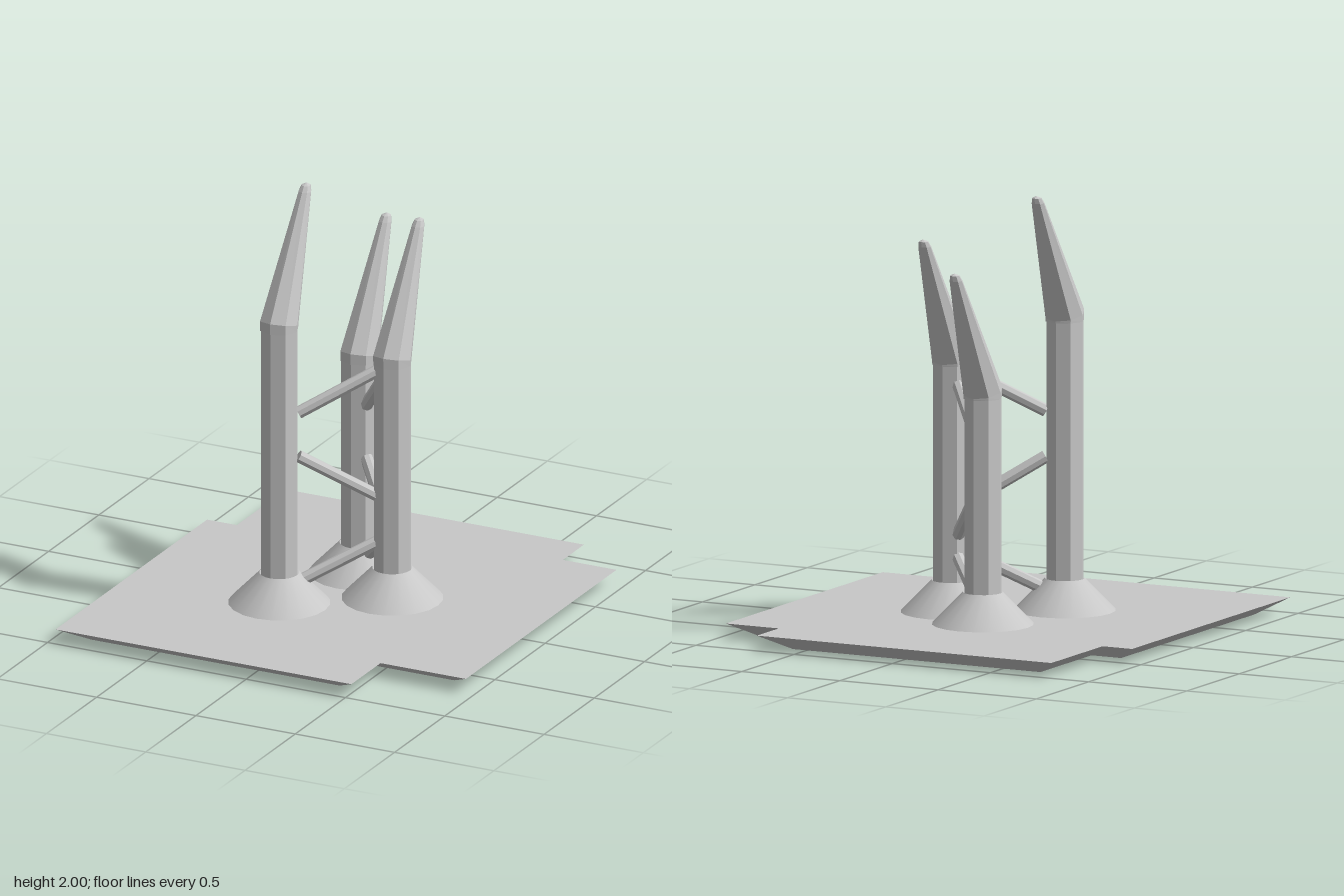
import * as THREE from 'three';

const grey = new THREE.MeshStandardMaterial({ color: 0xc8c8c8 });
grey.name = 'stone grey';

// One normal per face, for the faceted parts
function faceted(geometry) {
  const flat = geometry.index ? geometry.toNonIndexed() : geometry;
  flat.computeVertexNormals();
  return flat;
}

function part(name, geometry, parent) {
  const mesh = new THREE.Mesh(geometry, grey);
  mesh.name = name;
  parent.add(mesh);
  return mesh;
}

// Notched slab whose walls slope inward towards the ground
function slabGeometry() {
  const outline = [[-0.81, -1], [0.69, -1], [0.69, -0.79], [0.96, -0.79], [0.96, 0.71],
    [0.53, 0.71], [0.53, 1], [-0.96, 1], [-0.96, -0.51], [-0.81, -0.51]];
  const shape = new THREE.Shape(outline.map(([x, z]) => new THREE.Vector2(x, z)));
  const g = new THREE.ExtrudeGeometry(shape, { depth: 0.07, bevelEnabled: false });
  g.rotateX(Math.PI / 2).translate(0, 0.07, 0);
  const p = g.attributes.position;
  for (let i = 0; i < p.count; i++) {
    if (p.getY(i) > 0.035) continue;
    p.setX(i, p.getX(i) - 0.12 * Math.sign(p.getX(i)));
    p.setZ(i, p.getZ(i) - 0.12 * Math.sign(p.getZ(i)));
  }
  return faceted(g);
}

// Eight-sided spike leaning backwards, with a blunt tip
function spikeGeometry() {
  const profile = [[0.09, -0.01], [0.091, 0.02], [0.03, 0.565], [0.022, 0.59], [0, 0.6]];
  const g = new THREE.LatheGeometry(profile.map(([r, y]) => new THREE.Vector2(r, y)), 8);
  const p = g.attributes.position;
  for (let i = 0; i < p.count; i++) {
    const y = p.getY(i);
    if (y > 0) p.setY(i, y + 0.25 * p.getZ(i) * (1 - y / 0.6));
    p.setZ(i, p.getZ(i) - 0.47 * Math.max(0, y - 0.02));
  }
  return faceted(g);
}

// Brace between two points
function brace(name, a, b, parent) {
  const along = b.clone().sub(a);
  const mesh = part(name, faceted(new THREE.CylinderGeometry(0.029, 0.029, along.length(), 8)), parent);
  mesh.position.copy(a).add(b).multiplyScalar(0.5);
  mesh.quaternion.setFromUnitVectors(new THREE.Vector3(0, 1, 0), along.normalize());
}

export function createModel() {
  const model = new THREE.Group();
  model.name = 'spikeTowers';
  part('baseSlab', slabGeometry(), model);

  // Towers: x, z and height of the column
  const towers = [
    { name: 'frontTower', x: -0.215, z: 0.245, top: 1.4 },
    { name: 'middleTower', x: 0.212, z: -0.037, top: 1.21 },
    { name: 'backTower', x: -0.06, z: -0.248, top: 1.11 },
  ];
  for (const t of towers) {
    const tower = new THREE.Group();
    tower.name = t.name;
    tower.position.set(t.x, 0, t.z);
    model.add(tower);
    part('foot', new THREE.CylinderGeometry(0.09, 0.23, 0.145, 20, 1, true), tower).position.y = 0.1425;
    const height = t.top - 0.07;
    part('column', faceted(new THREE.CylinderGeometry(0.087, 0.087, height, 8)), tower)
      .position.y = 0.07 + height / 2;
    part('spike', spikeGeometry(), tower).position.y = t.top;
  }

  // Zigzag braces: heights at the start and end of each
  const [front, middle, back] = towers;
  const runs = [
    { name: 'frontBrace', from: front, to: middle, start: 0.17, end: 0.88,
      heights: [[0.98, 1.17], [0.77, 0.56], [0.165, 0.345]] },
    { name: 'backBrace', from: back, to: middle, start: 0.2, end: 0.8,
      heights: [[0.9, 1.12], [0.65, 0.43], [0.17, 0.33]] },
  ];
  for (const { name, from, to, start, end, heights } of runs) {
    const at = (t, y) => new THREE.Vector3(
      THREE.MathUtils.lerp(from.x, to.x, t), y, THREE.MathUtils.lerp(from.z, to.z, t));
    for (const [y0, y1] of heights) brace(name, at(start, y0), at(end, y1), model);
  }
  return model;
}
